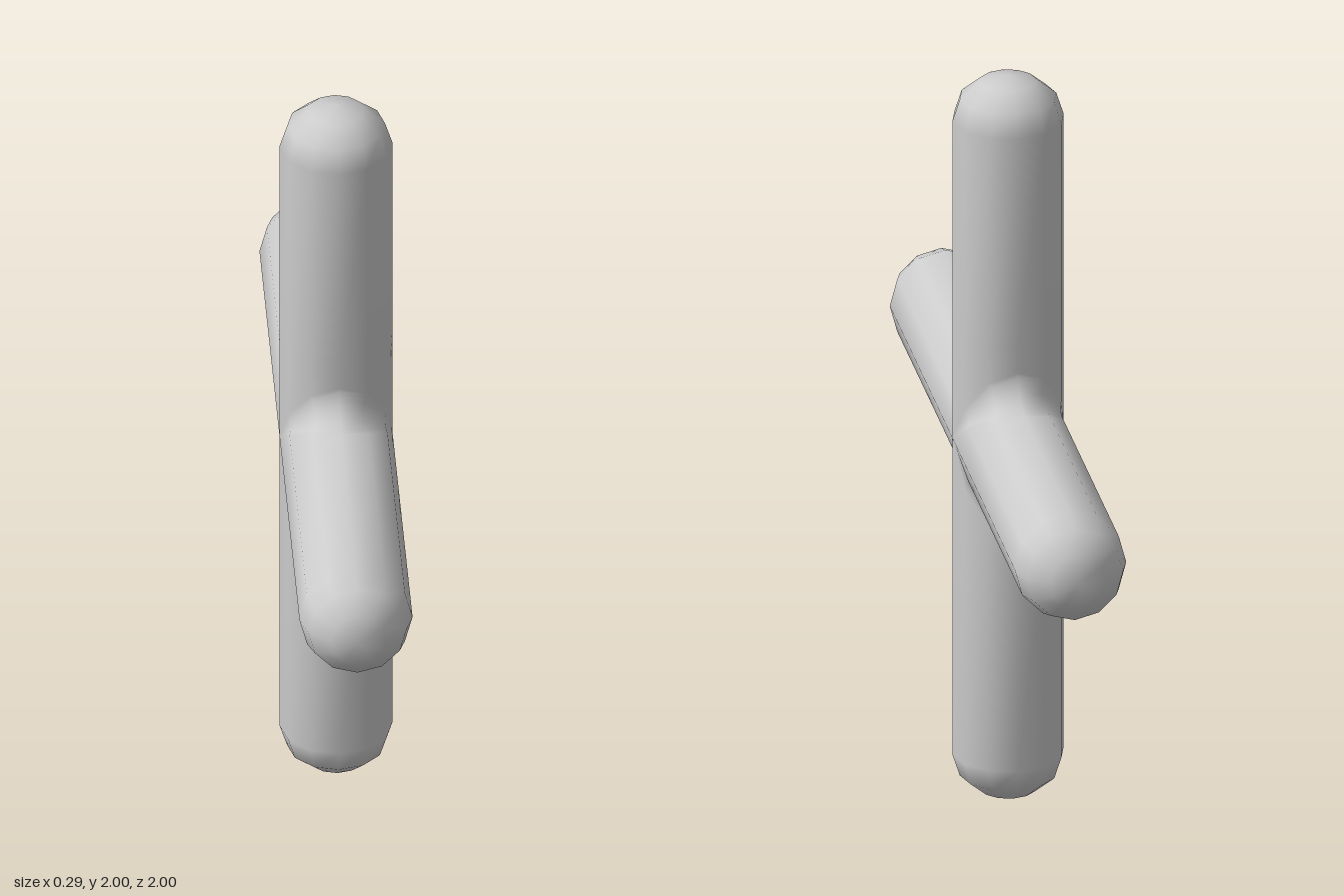
import * as THREE from 'three';
import { mergeGeometries, mergeVertices } from 'three/addons/utils/BufferGeometryUtils.js';

const RADIUS = 0.145; // bar radius
const FILLET = 0.085; // rounding between neighbouring bars
const CAP = 0.12;     // height of the rounded end
const SIDES = 12, FILLET_STEPS = 4, CAP_STEPS = 3;

// One point on the fillet: a ball rolled between two crossing bars.
// k = 0 is the mitre between the bars, k = 1 is where it runs into this bar.
function filletPoint(a, k) {
  const c = Math.cos(a), s = Math.sin(a), side = Math.abs(s);
  const n = new THREE.Vector3(c, (1 - k) * side, (1 + k) * s);
  n.y /= 2;
  n.z /= 2;
  n.normalize();
  const reach = RADIUS + FILLET;
  return new THREE.Vector3(reach * c, reach * side, reach * s).addScaledVector(n, -FILLET);
}

// Upright arm from the crossing to its rounded tip, as a stack of rings
function armGeometry() {
  const rings = [];
  const ring = (point) => rings.push(
    Array.from({ length: SIDES }, (_, j) => point((j / SIDES) * Math.PI * 2)));
  const circle = (r, y) => ring((a) => new THREE.Vector3(r * Math.cos(a), y, r * Math.sin(a)));

  for (let i = 0; i <= FILLET_STEPS; i++) ring((a) => filletPoint(a, i / FILLET_STEPS));
  circle(RADIUS, 0.3);
  for (let i = 0; i <= CAP_STEPS; i++) {
    const t = (i / CAP_STEPS) * Math.PI / 2;
    circle(RADIUS * Math.cos(t), 1 - CAP + CAP * Math.sin(t));
  }

  const index = [];
  for (let i = 0; i < rings.length - 1; i++) {
    for (let j = 0; j < SIDES; j++) {
      const p = i * SIDES + j, q = i * SIDES + (j + 1) % SIDES;
      index.push(p, p + SIDES, q, q, p + SIDES, q + SIDES);
    }
  }
  const geometry = new THREE.BufferGeometry().setFromPoints(rings.flat());
  geometry.setIndex(index);
  return geometry;
}

export function createModel() {
  const group = new THREE.Group();
  group.name = 'roundedCross';

  // Four equal arms, joined into one smooth skin
  const arms = [0, 1, 2, 3].map((k) => armGeometry().rotateX(k * Math.PI / 2));
  const skin = mergeVertices(mergeGeometries(arms), 1e-4);
  skin.computeVertexNormals();

  const cross = new THREE.Mesh(skin, new THREE.MeshStandardMaterial({ color: 0xcccccc }));
  cross.name = 'crossBars';
  cross.position.y = 1;
  group.add(cross);
  return group;
}
